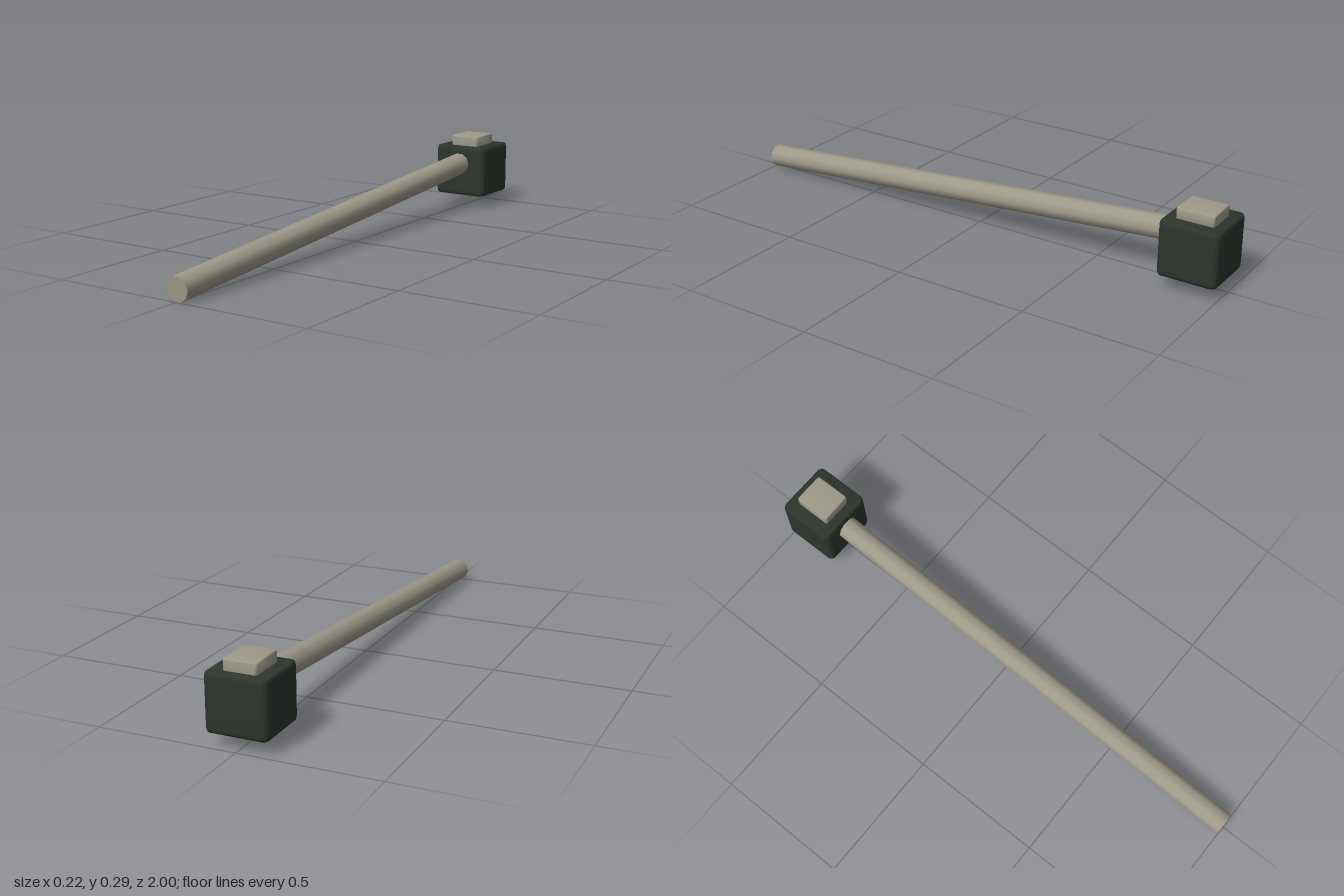
import * as THREE from 'three';
import { toCreasedNormals } from 'three/addons/utils/BufferGeometryUtils.js';

// Upright block: rounded plan, softly bevelled top and bottom edges, base at y = 0
function softBlock(w, h, d, radius, inset, bevelHeight) {
  const x = w / 2, z = d / 2, r = radius;
  const shape = new THREE.Shape();
  shape.absarc(x - r, z - r, r, 0, Math.PI / 2);
  shape.absarc(-x + r, z - r, r, Math.PI / 2, Math.PI);
  shape.absarc(-x + r, -z + r, r, Math.PI, Math.PI * 1.5);
  shape.absarc(x - r, -z + r, r, Math.PI * 1.5, Math.PI * 2);
  const geometry = new THREE.ExtrudeGeometry(shape, {
    depth: h - 2 * bevelHeight,
    bevelEnabled: true,
    bevelThickness: bevelHeight,
    bevelSize: inset,
    bevelOffset: -inset,
    bevelSegments: 4,
    curveSegments: 5,
  });
  geometry.rotateX(-Math.PI / 2).translate(0, bevelHeight, 0);
  return toCreasedNormals(geometry, 0.7);
}

export function createModel() {
  const model = new THREE.Group();
  const paleStone = new THREE.MeshStandardMaterial({ color: 0x9e9a89 });
  paleStone.name = 'paleStone';
  const darkGreen = new THREE.MeshStandardMaterial({ color: 0x2d352d });
  darkGreen.name = 'darkGreen';

  const add = (name, geometry, material) => {
    const mesh = new THREE.Mesh(geometry, material);
    mesh.name = name;
    model.add(mesh);
    return mesh;
  };

  // Ten-sided rod sloping down from the block to the front
  const front = new THREE.Vector3(0, 0.042, 0.997);
  const back = new THREE.Vector3(0, 0.188, -0.89);
  const rod = add('rod', new THREE.CylinderGeometry(
    0.044, 0.044, front.distanceTo(back), 10, 1, false, Math.PI / 2), paleStone);
  rod.position.copy(front).add(back).multiplyScalar(0.5);
  rod.rotation.x = Math.PI / 2 + Math.atan2(back.y - front.y, front.z - back.z);

  // Dark block at the back end
  add('block', softBlock(0.222, 0.2, 0.22, 0.022, 0.006, 0.022), darkGreen)
    .position.set(0, 0.05, -0.89);

  // Small pale cap on top of the block
  add('cap', softBlock(0.12, 0.05, 0.14, 0.008, 0.005, 0.006), paleStone)
    .position.set(0, 0.24, -0.89);

  return model;
}
